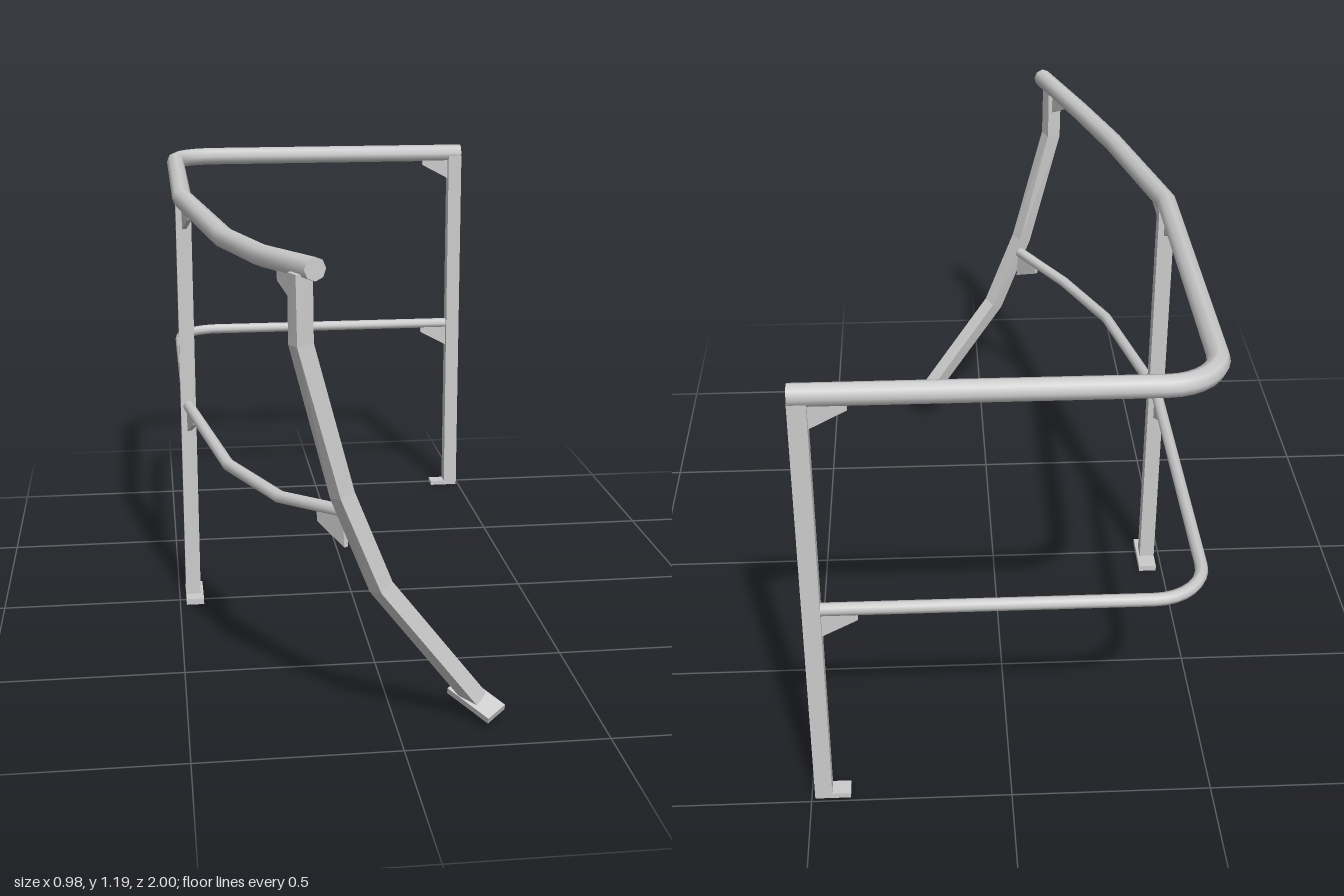
import * as THREE from 'three';
import { toCreasedNormals } from 'three/addons/utils/BufferGeometryUtils.js';

const V = (x, y, z) => new THREE.Vector3(x, y, z);

// Sweep a regular polygon along a polyline; refs gives the "up" hint per point
function sweep(points, radius, sides, refs, phase = 0) {
  const pos = [], idx = [], n = points.length;
  points.forEach((p, i) => {
    const a = points[Math.max(i - 1, 0)], b = points[Math.min(i + 1, n - 1)];
    const t = V(0, 0, 0);
    if (i > 0) t.add(p.clone().sub(a).normalize());
    if (i < n - 1) t.add(b.clone().sub(p).normalize());
    t.normalize();
    const side = refs(i).cross(t).normalize();
    const up = t.clone().cross(side);
    for (let j = 0; j < sides; j++) {
      const ang = phase + (j / sides) * Math.PI * 2;
      const q = p.clone().addScaledVector(side, Math.cos(ang) * radius).addScaledVector(up, Math.sin(ang) * radius);
      pos.push(q.x, q.y, q.z);
    }
  });
  for (let i = 0; i < n - 1; i++) {
    for (let j = 0; j < sides; j++) {
      const k = (j + 1) % sides;
      const a = i * sides + j, b = i * sides + k, c = b + sides, d = a + sides;
      idx.push(a, b, c, a, c, d);
    }
  }
  // End caps as fans
  const e = (n - 1) * sides;
  for (let j = 1; j < sides - 1; j++) idx.push(0, j + 1, j, e, e + j, e + j + 1);
  const geo = new THREE.BufferGeometry();
  geo.setAttribute('position', new THREE.Float32BufferAttribute(pos, 3));
  geo.setIndex(idx);
  return geo;
}

export function createModel() {
  const group = new THREE.Group();
  const smooth = new THREE.MeshStandardMaterial({ color: 0xcccccc });
  const flat = new THREE.MeshStandardMaterial({ color: 0xcccccc, flatShading: true });

  const add = (name, geo, mat = flat) => {
    const m = new THREE.Mesh(geo, mat);
    m.name = name;
    group.add(m);
    return m;
  };
  const box = (name, x0, x1, y0, y1, z0, z1) => {
    add(name, new THREE.BoxGeometry(x1 - x0, y1 - y0, z1 - z0))
      .position.set((x0 + x1) / 2, (y0 + y1) / 2, (z0 + z1) / 2);
  };

  // Rails: straight back run, rounded corner, side run, then a curved front stretch
  const rail = (name, y, r, xEnd, front) => {
    const pts = [V(xEnd, y, -0.972)];
    for (let i = 0; i <= 8; i++) {
      const a = (i / 8) * Math.PI / 2;
      pts.push(V(-0.333 - 0.13 * Math.sin(a), y, -0.842 - 0.13 * Math.cos(a)));
    }
    pts.push(V(-0.463, y, -0.02), ...front);
    const geo = sweep(pts, r, 8, () => V(0, 1, 0));
    add(name, toCreasedNormals(geo, 1.0), smooth);
  };
  rail('topRail', 1.168, 0.027, 0.49,
    [V(-0.375, 1.141, 0.47), V(-0.3, 1.141, 0.73), V(-0.203, 1.155, 0.988)]);
  rail('midRail', 0.585, 0.016, 0.46,
    [V(-0.375, 0.557, 0.47), V(-0.265, 0.553, 0.73), V(-0.13, 0.575, 0.915)]);

  // Upright posts with foot plates
  box('backPost', 0.448, 0.491, 0.01, 1.16, -0.993, -0.948);
  box('backPostFoot', 0.402, 0.491, 0.006, 0.02, -0.993, -0.948);
  box('sidePost', -0.482, -0.44, 0.01, 1.155, -0.045, -0.002);
  box('sidePostFoot', -0.482, -0.432, 0.003, 0.02, -0.097, 0.04);

  // Leaning, twisting front post
  const path = [V(-0.232, 1.14, 0.945), V(-0.231, 0.98, 0.945), V(-0.138, 0.62, 0.932),
    V(-0.045, 0.385, 0.917), V(0.2, 0.055, 0.85)];
  const yaw = [21, 23, 33, 39, 42].map(THREE.MathUtils.degToRad);
  add('frontPost', sweep(path, 0.03, 4, i => V(Math.sin(yaw[i]), 0, Math.cos(yaw[i])), Math.PI / 4));

  // Tilted plate under the front post
  const foot = add('frontPostFoot', new THREE.BoxGeometry(0.062, 0.018, 0.132));
  const along = V(0.09, -0.045, 0.1).normalize();
  const normal = along.clone().cross(V(0.04, 0.02, -0.04)).normalize();
  foot.quaternion.setFromRotationMatrix(
    new THREE.Matrix4().makeBasis(normal.clone().cross(along), normal, along));
  foot.position.set(0.2, 0.054, 0.852);

  // Gusset plates below the rails, pointing away from a post along dir
  const profile = new THREE.Shape([[0, 0.02], [0.09, 0.02], [0.09, -0.018], [0, -0.066]]
    .map(p => new THREE.Vector2(...p)));
  const plate = new THREE.ExtrudeGeometry(profile, { depth: 0.012, bevelEnabled: false });
  plate.translate(0, 0, -0.006);
  const gusset = (name, origin, dir) => {
    const x = dir.normalize();
    const z = x.clone().cross(V(0, 1, 0)).normalize();
    const g = add(name, plate);
    g.quaternion.setFromRotationMatrix(new THREE.Matrix4().makeBasis(x, z.clone().cross(x), z));
    g.position.copy(origin);
  };
  for (const [level, y] of [['top', 1.147], ['mid', 0.573]]) {
    gusset(level + 'BackGusset', V(0.452, y, -0.972), V(-1, 0, 0));
    gusset(level + 'SideGussetBack', V(-0.462, y, -0.043), V(0, 0, -1));
    gusset(level + 'SideGussetFront', V(-0.461, y, -0.01), V(0.175, -0.04, 1));
  }
  gusset('topFrontGusset', V(-0.237, 1.126, 0.925), V(-0.36, -0.04, -0.93));
  gusset('midFrontGusset', V(-0.13, 0.554, 0.915), V(-0.59, -0.07, -0.8));

  return group;
}
